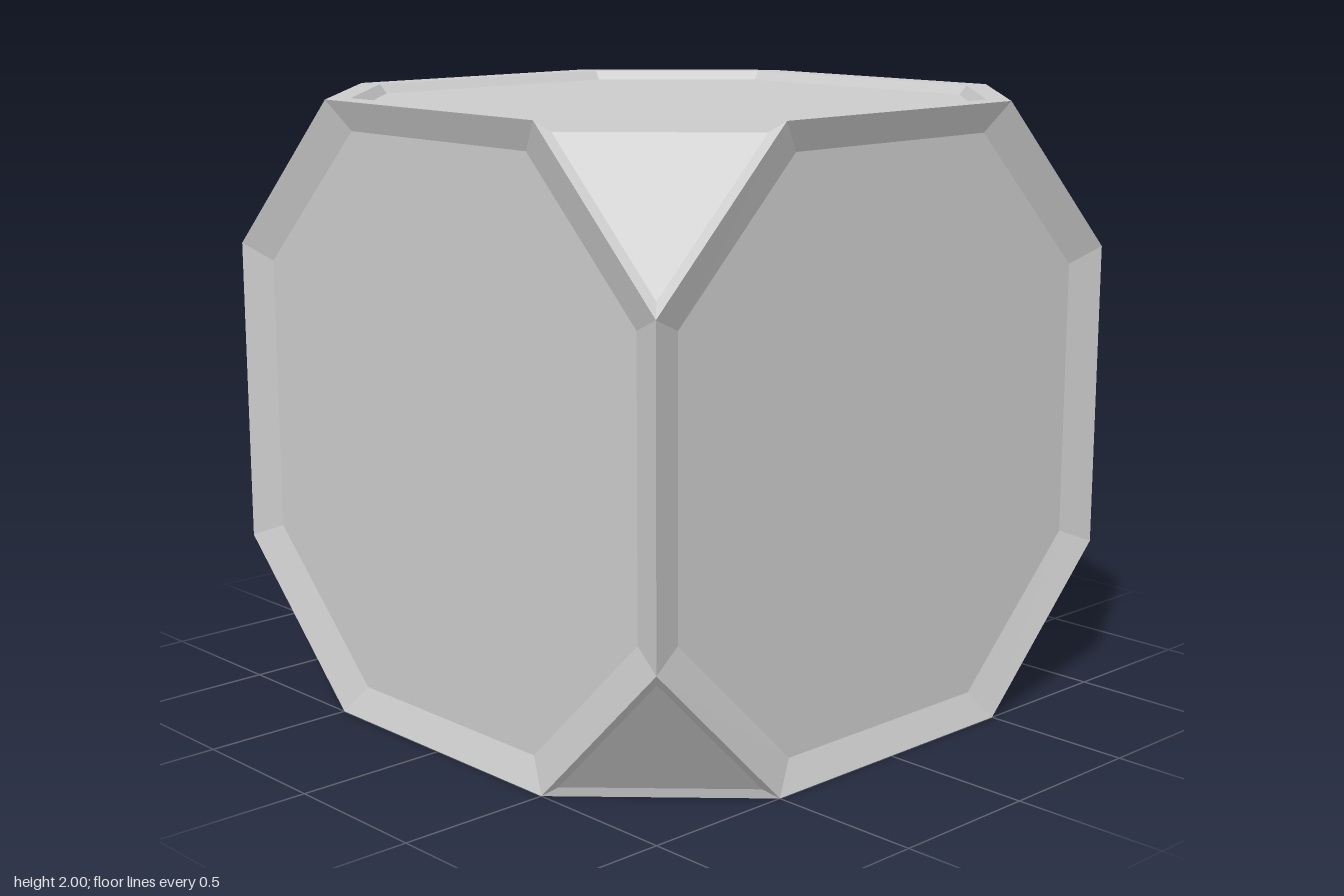
import * as THREE from 'three';

const material = new THREE.MeshStandardMaterial({ color: 0xcccccc, flatShading: true });

// Octagon facing +z: long sides at x = +-w and y = +-h, corners at +-cy and +-cx
function octagon(w, cy, h, cx, z) {
  return [[w, -cy], [w, cy], [cx, h], [-cx, h], [-w, cy], [-w, -cy], [-cx, -h], [cx, -h]]
    .map(([x, y]) => new THREE.Vector3(x, y, z));
}

// Joins counter-clockwise rings from the outside in and caps the innermost one
function panel(rings) {
  const points = [];
  const n = rings[0].length;
  for (let r = 0; r < rings.length - 1; r++) {
    const a = rings[r], b = rings[r + 1];
    for (let i = 0; i < n; i++) {
      const j = (i + 1) % n;
      points.push(a[i], a[j], b[j], a[i], b[j], b[i]);
    }
  }
  const cap = rings[rings.length - 1];
  for (let i = 1; i < n - 1; i++) points.push(cap[0], cap[i], cap[i + 1]);
  const geometry = new THREE.BufferGeometry().setFromPoints(points);
  geometry.computeVertexNormals();
  return geometry;
}

export function createModel() {
  const group = new THREE.Group();
  const add = (name, geometry) => {
    const mesh = new THREE.Mesh(geometry, material);
    mesh.name = name;
    mesh.position.y = 1;
    group.add(mesh);
    return mesh;
  };
  const outline = octagon(1, 0.5, 1, 0.5, 1);

  // Four side faces with a wide, shallow bevel sinking to a flat panel
  const side = panel([outline, octagon(0.88, 0.45, 0.905, 0.42, 0.96)]);
  ['frontPanel', 'leftPanel', 'backPanel', 'rightPanel'].forEach((name, i) => {
    add(name, side).rotation.y = i * Math.PI / 2;
  });

  // Top and bottom faces with a flat rim and a narrow step down to the panel
  const lid = panel([
    outline,
    octagon(0.91, 0.49, 0.91, 0.49, 1),
    octagon(0.885, 0.48, 0.885, 0.48, 0.97),
  ]);
  add('topPanel', lid).rotation.x = -Math.PI / 2;
  add('bottomPanel', lid).rotation.x = Math.PI / 2;

  // Eight cut corners, each a slightly recessed triangle
  for (const sx of [-1, 1]) for (const sy of [-1, 1]) for (const sz of [-1, 1]) {
    const sign = new THREE.Vector3(sx, sy, sz);
    const outer = [[0.5, 1, 1], [1, 0.5, 1], [1, 1, 0.5]]
      .map((p) => new THREE.Vector3(...p).multiply(sign));
    if (sx * sy * sz < 0) outer.reverse();
    const centre = sign.clone().multiplyScalar(5 / 6);
    const inner = outer.map((p) => p.clone().lerp(centre, 0.147).addScaledVector(sign, -0.007));
    add('cornerFacet', panel([outer, inner]));
  }
  return group;
}
